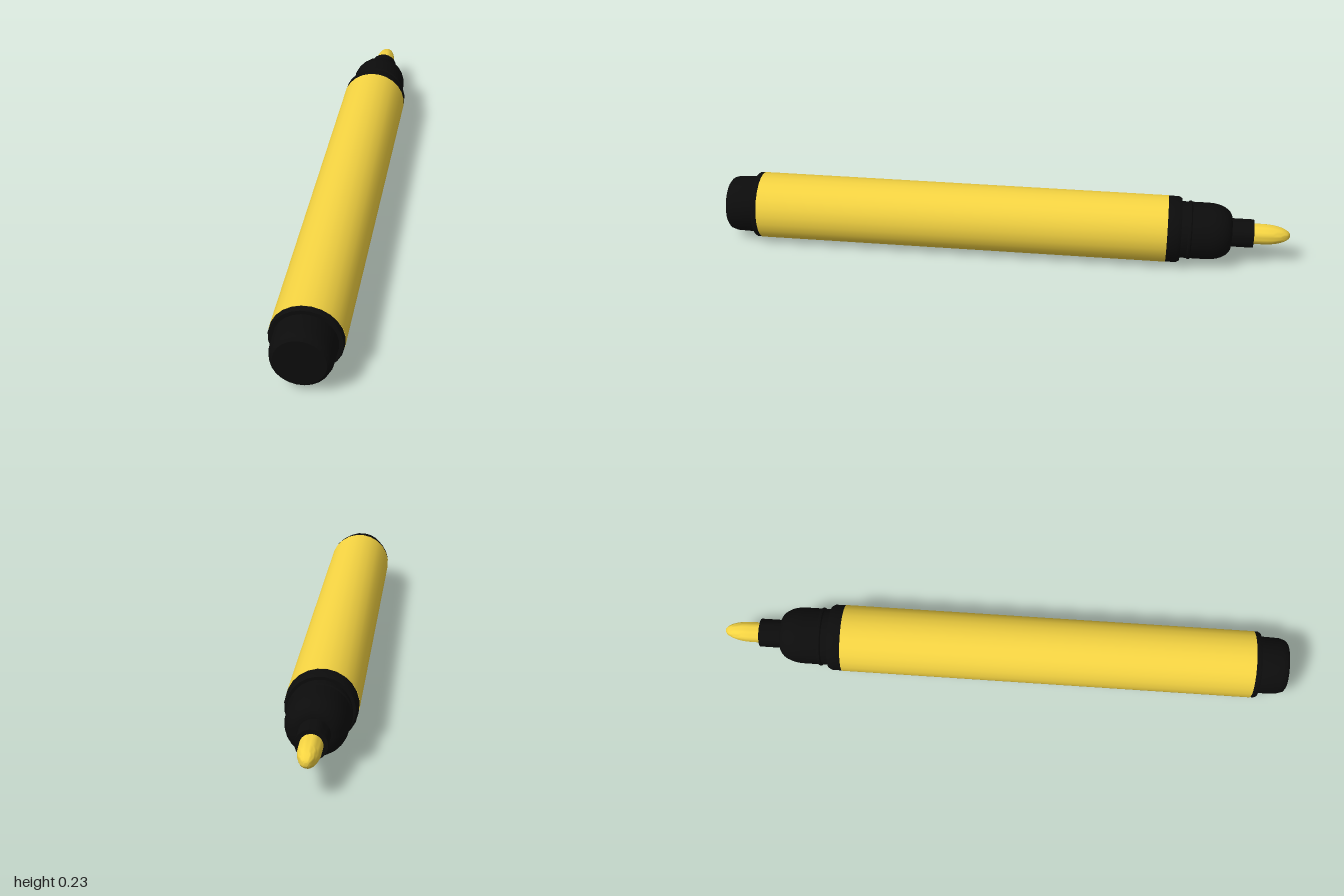
import * as THREE from 'three';
import { toCreasedNormals } from 'three/addons/utils/BufferGeometryUtils.js';

const SIDES = 24;
const RADIUS = 0.118;
const yellow = new THREE.MeshStandardMaterial({ color: 0xf5d442 });
const black = new THREE.MeshStandardMaterial({ color: 0x0c0c0c });

// Rounded corner of a profile: quarter ellipse from (r0, d0) to (r1, d1)
function dome(r0, d0, r1, d1, steps) {
  return Array.from({ length: steps + 1 }, (_, i) => {
    const a = (i / steps) * Math.PI / 2;
    return [r1 + (r0 - r1) * Math.cos(a), d0 + (d1 - d0) * Math.sin(a)];
  });
}

// Turned part lying along z: profile points are [radius, distance towards the tip (-z)]
function turned(name, material, profile) {
  const points = profile.map(([r, d]) => new THREE.Vector2(r, d));
  const lathe = new THREE.LatheGeometry(points, SIDES, Math.PI / SIDES);
  lathe.rotateX(-Math.PI / 2);
  const mesh = new THREE.Mesh(toCreasedNormals(lathe, 0.6), material);
  mesh.name = name;
  return mesh;
}

export function createModel() {
  const pen = new THREE.Group();
  pen.name = 'markerPen';

  // Long barrel
  pen.add(turned('barrel', yellow, [
    [0, -0.88], [RADIUS, -0.88], [RADIUS, 0.572], [0, 0.572],
  ]));

  // Plug closing the rear end, with a thin flange against the barrel
  pen.add(turned('endPlug', black, [
    [0, -1], [0.082, -1], [0.092, -0.992], [0.099, -0.97], [0.101, -0.9],
    [0.114, -0.9], [0.117, -0.895], [0.117, -0.88], [0, -0.88],
  ]));

  // Collar, snap ridge, domed shoulder and neck
  pen.add(turned('tipHolder', black, [
    [0, 0.572], [0.117, 0.572], [0.117, 0.608], [0.11, 0.62], [0.1, 0.62],
    [0.1, 0.643], [0.104, 0.647], [0.104, 0.653], [0.1, 0.657],
    ...dome(0.1, 0.715, 0.05, 0.797, 7),
    [0.05, 0.872], [0, 0.872],
  ]));

  // Bullet-shaped writing tip
  pen.add(turned('nib', yellow, [
    [0, 0.86], [0.036, 0.86], ...dome(0.036, 0.905, 0, 1, 9),
  ]));

  pen.position.y = RADIUS * Math.cos(Math.PI / SIDES);
  const model = new THREE.Group();
  model.add(pen);
  return model;
}
